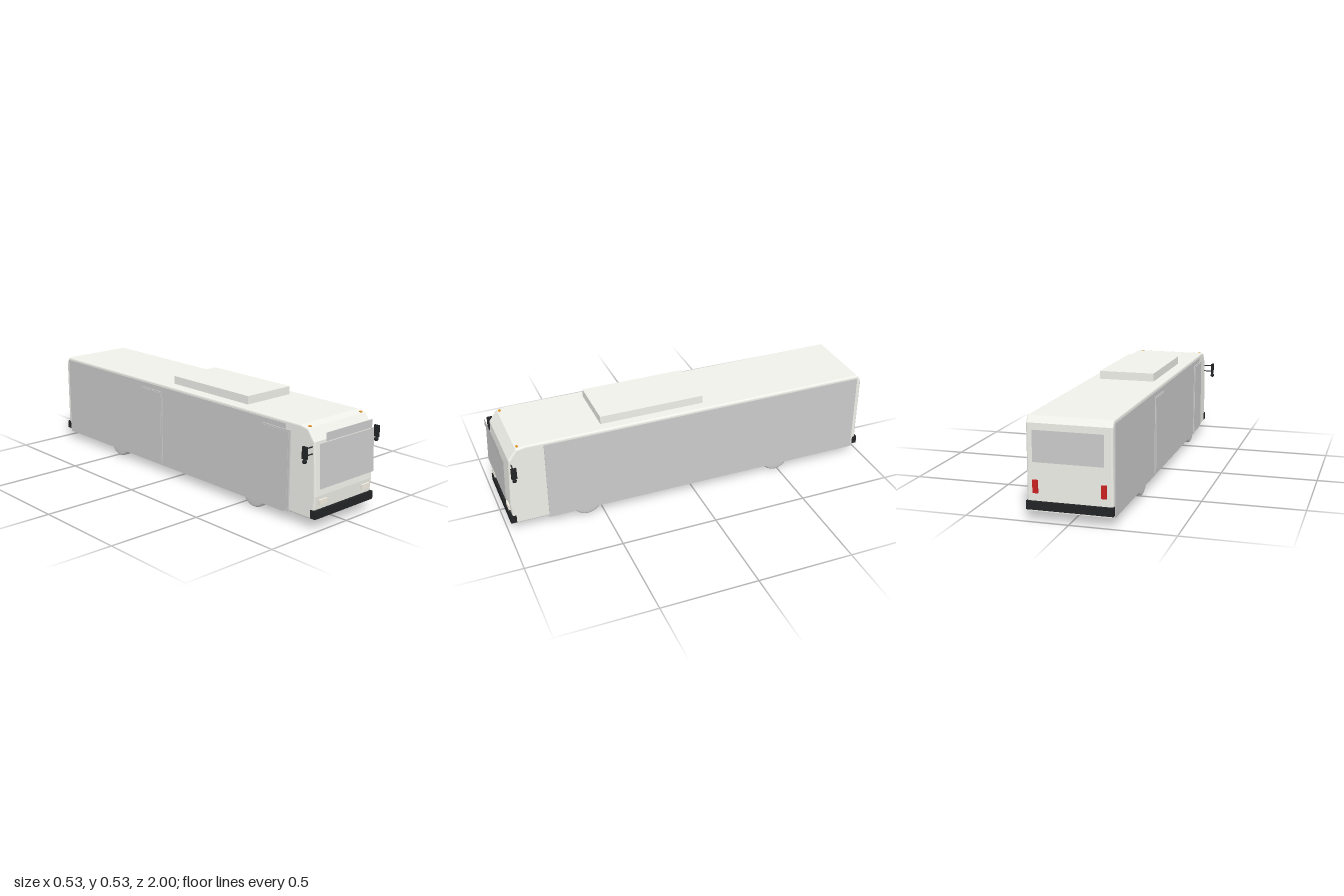
import * as THREE from 'three';

const mat = (color) => new THREE.MeshStandardMaterial({ color, side: THREE.DoubleSide });

export function createModel() {
  const bus = new THREE.Group();
  bus.name = 'bus';
  const paint = mat(0xf0f0ea), grey = mat(0xcccccc), black = mat(0x222426);
  const red = mat(0xcc2222), amber = mat(0xe09020), lamp = mat(0xf2ede0);

  const add = (name, geometry, material, x = 0, y = 0, z = 0, parent = bus) => {
    const mesh = new THREE.Mesh(geometry, material);
    mesh.name = name;
    mesh.position.set(x, y, z);
    parent.add(mesh);
    return mesh;
  };
  // Box given by its limits on each axis
  const box = (name, material, [x0, x1], [y0, y1], [z0, z1], parent = bus) =>
    add(name, new THREE.BoxGeometry(x1 - x0, y1 - y0, z1 - z0), material,
      (x0 + x1) / 2, (y0 + y1) / 2, (z0 + z1) / 2, parent);

  // Body shell: side profile (z, y) extruded across the width with softened edges
  const profile = new THREE.Shape([
    [-0.978, 0.045], [0.962, 0.045], [0.97, 0.055], [0.979, 0.16], [0.966, 0.42],
    [0.925, 0.476], [0.88, 0.485], [-0.955, 0.485], [-0.978, 0.455],
  ].map(([z, y]) => new THREE.Vector2(z, y)));
  const halfWidth = 0.203, bevel = 0.009;
  const shell = new THREE.ExtrudeGeometry(profile, {
    depth: 2 * (halfWidth - bevel), bevelEnabled: true, bevelSize: bevel,
    bevelThickness: bevel, bevelOffset: -bevel, bevelSegments: 3,
  });
  shell.translate(0, 0, -(halfWidth - bevel)).rotateY(-Math.PI / 2);
  add('body', shell, paint);

  // Roof unit and bumpers
  box('roofUnit', paint, [-0.146, 0.146], [0.48, 0.527], [-0.07, 0.48]);
  box('frontBumper', black, [-0.206, 0.206], [0.053, 0.094], [0.955, 0.986]);
  box('rearBumper', black, [-0.206, 0.206], [0.053, 0.094], [-0.988, -0.962]);

  // Front and rear glass, standing just off the shell
  const windscreen = add('windscreen', new THREE.PlaneGeometry(0.38, 0.215), grey, 0, 0.3075, 0.992);
  windscreen.rotation.x = -0.04;
  add('destinationSign', new THREE.PlaneGeometry(0.324, 0.041), grey, 0, 0.4445, 0.998);
  const rearWindow = add('rearWindow', new THREE.PlaneGeometry(0.335, 0.148), grey, 0, 0.354, -0.998);
  rearWindow.rotation.y = Math.PI;

  // Doors on the right-hand side: a frame with a slightly raised leaf
  for (const [z0, z1] of [[0.64, 0.82], [-0.27, -0.1]]) {
    const door = new THREE.Group();
    door.name = 'door';
    box('doorFrame', grey, [-0.211, -0.2], [0.048, 0.445], [z0, z1], door);
    box('doorLeaf', grey, [-0.213, -0.205], [0.055, 0.438], [z0 + 0.008, z1 - 0.008], door);
    bus.add(door);
  }

  // Wheel: tyre with rounded shoulders, turned about the x axis
  const wheel = (x, z, width) => {
    const r = 0.077, h = width / 2, c = 0.01;
    const points = [[0, -h], [0.045, -h], [r - c, -h], [r - c * 0.3, -h + c * 0.3], [r, -h + c],
      [r, h - c], [r - c * 0.3, h - c * 0.3], [r - c, h], [0.045, h], [0, h]]
      .map(([a, b]) => new THREE.Vector2(a, b));
    const tyre = new THREE.LatheGeometry(points, 40);
    tyre.rotateZ(Math.PI / 2);
    add('wheel', tyre, grey, x, r, z);
  };

  for (const s of [-1, 1]) {
    // Long side panels
    const panel = [0.2 * s, 0.206 * s].sort((a, b) => a - b);
    box('sidePanel', grey, panel, [0.038, 0.47], [-0.953, 0.788]);

    // Lights
    add('headlight', new THREE.BoxGeometry(0.054, 0.025, 0.014), lamp, s * 0.152, 0.13, 0.979);
    add('tailLight', new THREE.BoxGeometry(0.026, 0.062, 0.012), red, s * 0.162, 0.162, -0.979);
    const marker = add('markerLight', new THREE.BoxGeometry(0.015, 0.006, 0.012), amber, s * 0.178, 0.479, 0.913);
    marker.rotation.x = 0.2;

    // Front wheels are single, rear wheels wider
    wheel(s * 0.173, 0.585, 0.06);
    wheel(s * 0.157, -0.485, 0.093);

    // Mirror: two arms, a housing and a round lower mirror
    const mirror = new THREE.Group();
    mirror.name = 'mirror';
    for (const y of [0.363, 0.397]) {
      const arm = new THREE.CylinderGeometry(0.003, 0.003, 0.055, 10).rotateZ(Math.PI / 2);
      add('mirrorArm', arm, black, s * 0.225, y, 0.955, mirror);
    }
    add('mirrorHousing', new THREE.BoxGeometry(0.011, 0.058, 0.028), black, s * 0.254, 0.379, 0.955, mirror);
    add('roundMirror', new THREE.SphereGeometry(0.011, 20, 14), black, s * 0.254, 0.338, 0.955, mirror);
    bus.add(mirror);
  }
  return bus;
}
